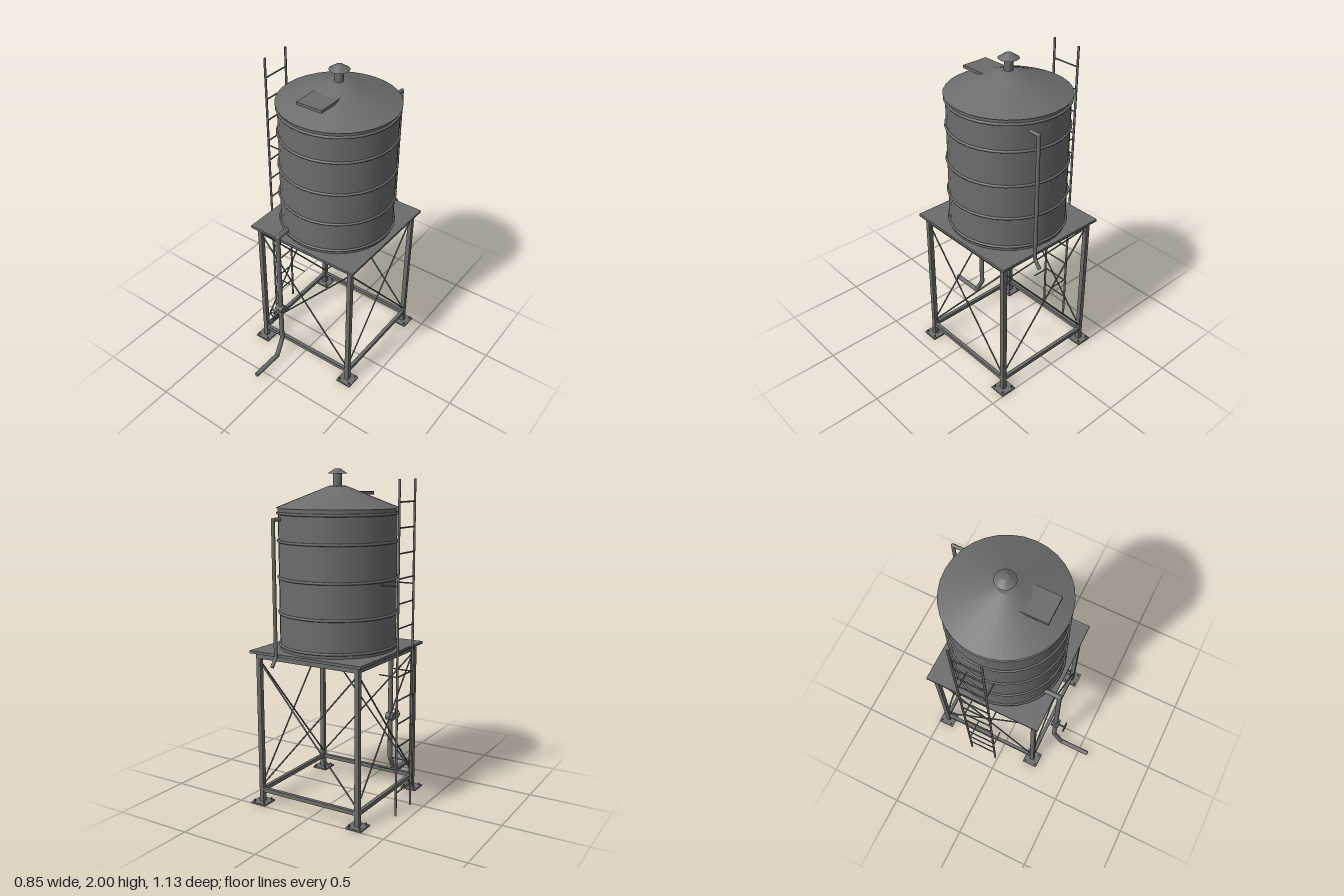
import * as THREE from 'three';

const CX = 0.032, CZ = -0.113; // tank and tower axis
const mat = new THREE.MeshStandardMaterial({ color: 0x6c6c6c });
const V = (x, y, z) => new THREE.Vector3(x, y, z);

function add(parent, name, geometry, x = 0, y = 0, z = 0) {
  const m = new THREE.Mesh(geometry, mat);
  m.name = name;
  m.position.set(x, y, z);
  parent.add(m);
  return m;
}

function group(parent, name, x = 0, y = 0, z = 0) {
  const g = new THREE.Group();
  g.name = name;
  g.position.set(x, y, z);
  parent.add(g);
  return g;
}

// Round bar between two points
function rod(parent, name, a, b, r, sides = 8) {
  const m = add(parent, name, new THREE.CylinderGeometry(r, r, a.distanceTo(b), sides));
  m.position.copy(a).lerp(b, 0.5);
  m.quaternion.setFromUnitVectors(V(0, 1, 0), b.clone().sub(a).normalize());
  return m;
}

// Run of straight pipes with rounded elbows
function pipeRun(parent, name, points, r) {
  const g = group(parent, name);
  for (let i = 0; i < points.length - 1; i++) {
    rod(g, 'pipe', points[i], points[i + 1], r, 16);
    if (i > 0) add(g, 'elbow', new THREE.SphereGeometry(r * 1.02, 16, 12), ...points[i].toArray());
  }
}

function buildTower(root) {
  const tower = group(root, 'tower', CX, 0, CZ);
  const h = 0.337; // leg offset from the axis
  add(tower, 'platform', new THREE.BoxGeometry(0.757, 0.016, 0.757), 0, 0.95, 0);

  for (const sx of [-1, 1]) for (const sz of [-1, 1]) {
    const leg = group(tower, 'leg', sx * h, 0, sz * h);
    add(leg, 'post', new THREE.BoxGeometry(0.028, 0.94, 0.028), 0, 0.472, 0);
    add(leg, 'basePlate', new THREE.BoxGeometry(0.102, 0.01, 0.102), 0, 0.005, 0);
    for (const bx of [-1, 1]) for (const bz of [-1, 1])
      add(leg, 'bolt', new THREE.CylinderGeometry(0.005, 0.005, 0.016, 6), bx * 0.036, 0.016, bz * 0.036);
  }

  // Beams and cross bracing, one set per side
  for (let i = 0; i < 4; i++) {
    const side = group(tower, 'sideFrame');
    side.rotation.y = i * Math.PI / 2;
    add(side, 'topBeam', new THREE.BoxGeometry(2 * h, 0.025, 0.024), 0, 0.921, h);
    add(side, 'lowerBeam', new THREE.BoxGeometry(2 * h, 0.025, 0.022), 0, 0.085, h);
    for (const s of [-1, 1])
      rod(side, 'brace', V(-s * h, 0.115, h - s * 0.004), V(s * h, 0.895, h - s * 0.004), 0.0048);
  }
}

function buildTank(root) {
  const tank = group(root, 'tank', CX, 0, CZ);
  add(tank, 'shell', new THREE.CylinderGeometry(0.348, 0.348, 0.824, 32), 0, 1.37, 0);
  for (const y of [0.983, 1.174, 1.381, 1.592, 1.751]) {
    const hoop = add(tank, 'hoop', new THREE.TorusGeometry(0.35, 0.008, 8, 32), 0, y, 0);
    hoop.rotation.x = Math.PI / 2;
  }

  // Conical roof
  add(tank, 'roof', new THREE.CylinderGeometry(0.05, 0.36, 0.123, 32), 0, 1.8425, 0);

  // Vent with rain cap
  add(tank, 'ventPipe', new THREE.CylinderGeometry(0.026, 0.026, 0.08, 24), 0, 1.935, 0);
  add(tank, 'ventCap', new THREE.CylinderGeometry(0.018, 0.06, 0.028, 24), 0, 1.986, 0);

  add(tank, 'hatch', new THREE.BoxGeometry(0.168, 0.018, 0.172), 0.002, 1.86, 0.194);
}

function buildLadder(root) {
  const ladder = group(root, 'ladder');
  const x = -0.418, z0 = -0.203, z1 = -0.017;
  for (const z of [z0, z1]) {
    rod(ladder, 'rail', V(x, 0, z), V(x, 1.945, z), 0.007);
    const zs = z === z0 ? z + 0.006 : z - 0.012;
    for (const y of [0.282, 0.842, 1.36])
      rod(ladder, 'standoff', V(x, y, zs), V(-0.3, y, zs), 0.004);
  }
  for (let i = 0; i < 13; i++) {
    const y = 0.142 + i * 0.14;
    rod(ladder, 'rung', V(x, y, z0), V(x, y, z1), 0.0045);
  }
}

function buildPipes(root) {
  const px = -0.108, pz = 0.298;
  pipeRun(root, 'supplyPipe', [V(px, 1.0, 0.18), V(px, 1.0, pz), V(px, 0.145, pz),
    V(px, 0.032, 0.357), V(px, 0.032, 0.567)], 0.0155);

  // Valve with a drum body and spoked hand wheel
  const valve = group(root, 'valve', px, 0.423, pz);
  rod(valve, 'valveBody', V(-0.026, 0, 0), V(0.026, 0, 0), 0.026, 16);
  rod(valve, 'valveStem', V(0, 0, 0), V(0, 0, 0.07), 0.005);
  add(valve, 'handWheel', new THREE.TorusGeometry(0.031, 0.004, 8, 24), 0, 0, 0.067);
  for (const [c, s] of [[0.031, 0], [0, 0.031]])
    rod(valve, 'wheelSpoke', V(-c, -s, 0.067), V(c, s, 0.067), 0.003);

  const ox = 0.197;
  pipeRun(root, 'overflowPipe', [V(ox, 1.724, -0.457), V(ox, 1.724, -0.519),
    V(ox, 0.95, -0.519), V(ox, 0.897, -0.557)], 0.011);
}

export function createModel() {
  const root = new THREE.Group();
  root.name = 'waterTower';
  buildTower(root);
  buildTank(root);
  buildLadder(root);
  buildPipes(root);
  return root;
}
